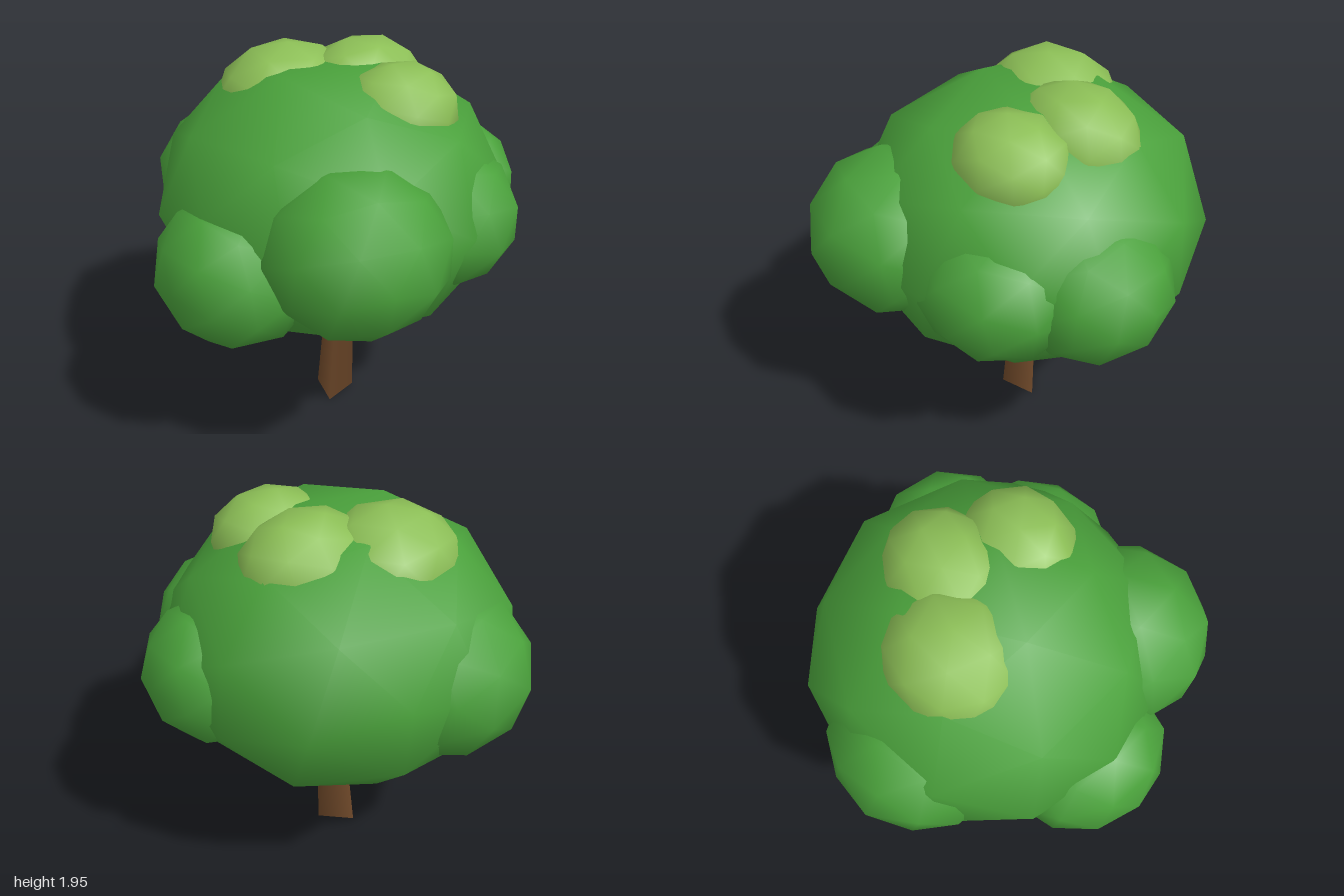
import * as THREE from 'three';

const material = (name, color) => {
  const m = new THREE.MeshStandardMaterial({ color });
  m.name = name;
  return m;
};

// Low-poly smooth ball with a flat facet on top, one corner of it towards +z
function makeBall() {
  const geo = new THREE.IcosahedronGeometry(1, 1);
  const t = (1 + Math.sqrt(5)) / 2;
  const up = new THREE.Vector3(1, 1, 1).normalize();
  const front = new THREE.Vector3(1, t, 0);
  front.addScaledVector(up, -front.dot(up)).normalize();
  const side = new THREE.Vector3().crossVectors(up, front);
  geo.applyMatrix4(new THREE.Matrix4().makeBasis(side, up, front).transpose());
  return geo;
}

export function createModel() {
  const tree = new THREE.Group();
  tree.name = 'tree';
  const bark = material('bark brown', 0x6e4829);
  const leaf = material('leaf green', 0x4aa13b);
  const lightLeaf = material('light leaf green', 0x8cbf56);

  const ball = makeBall();
  // Each clump is tilted, turned, then stretched to its radii
  const addClump = (name, mat, position, radii, tilt, turn, roll = 0) => {
    const geo = ball.clone();
    const rotation = new THREE.Euler(tilt, turn, roll, 'YXZ');
    geo.applyMatrix4(new THREE.Matrix4().makeRotationFromEuler(rotation));
    geo.scale(...radii);
    const mesh = new THREE.Mesh(geo, mat);
    mesh.name = name;
    mesh.position.set(...position);
    tree.add(mesh);
  };

  // Main crown
  addClump('crown', leaf, [0.035, 1.215, -0.05], [0.875, 0.71, 0.88], -0.05, -0.3);

  // Side clumps pushed out of the crown
  addClump('frontClump', leaf, [-0.25, 1.235, 0.55], [0.45, 0.41, 0.44], 0.92, -0.25);
  addClump('frontLeftClump', leaf, [0.34, 1.19, 0.4], [0.41, 0.375, 0.42], 0.1, 0.7, 0.2);
  addClump('leftClump', leaf, [0.64, 1.17, 0.11], [0.37, 0.36, 0.39], 0.8, 1.6);
  addClump('rightClump', leaf, [-0.62, 1.05, 0.1], [0.385, 0.37, 0.42], 0.87, -1.4);
  addClump('backClump', leaf, [-0.18, 1.18, -0.55], [0.45, 0.42, 0.45], 0.4, 0.5, 0.2);

  // Light clumps near the top
  addClump('topFrontClump', lightLeaf, [0.22, 1.69, 0.24], [0.305, 0.24, 0.28], 0.3, 0.3, 0.1);
  addClump('topLeftClump', lightLeaf, [0.27, 1.7, -0.11], [0.34, 0.26, 0.29], 0.1, 0.9);
  addClump('topBackClump', lightLeaf, [-0.07, 1.67, -0.28], [0.36, 0.285, 0.33], -0.6, 0.2);

  // Tapered three-sided trunk, leaning a little towards +x
  const height = 0.8;
  const trunkGeo = new THREE.CylinderGeometry(0.075, 0.113, height, 3);
  trunkGeo.rotateY(-Math.PI / 4);
  trunkGeo.translate(0, height / 2, 0);
  const p = trunkGeo.attributes.position;
  for (let i = 0; i < p.count; i++) p.setX(i, p.getX(i) + p.getY(i) * 0.06);
  const trunk = new THREE.Mesh(trunkGeo, bark);
  trunk.name = 'trunk';
  trunk.position.set(0.025, 0, -0.015);
  tree.add(trunk);

  return tree;
}
